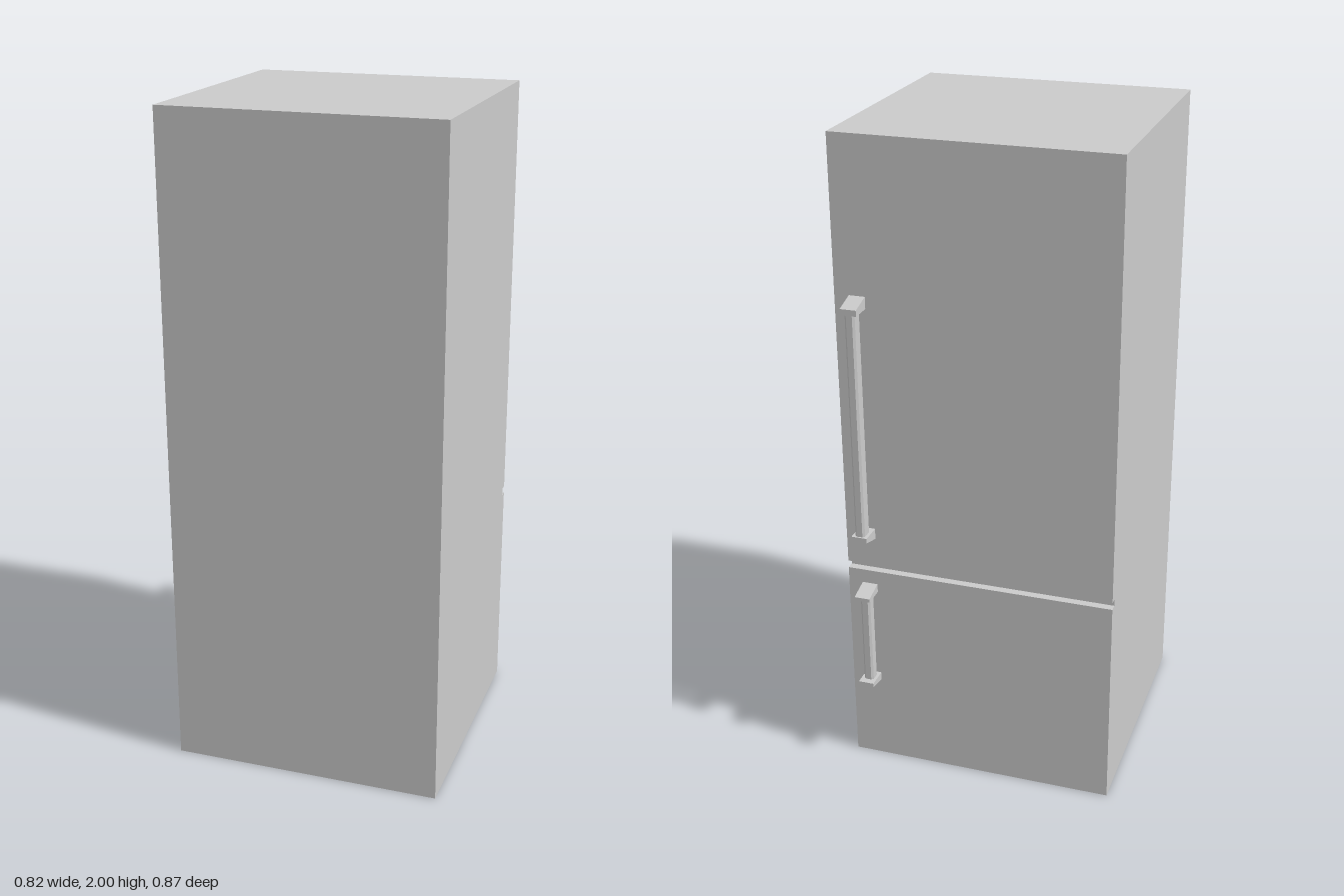
import * as THREE from 'three';

const material = new THREE.MeshStandardMaterial({ color: 0xcccccc, flatShading: true });

// Extrude a side profile of [z, y] points across the width, from x0 to x1.
function sideExtrude(name, points, x0, x1) {
  const shape = new THREE.Shape(points.map(([z, y]) => new THREE.Vector2(-z, y)));
  const geometry = new THREE.ExtrudeGeometry(shape, { depth: x1 - x0, bevelEnabled: false });
  geometry.rotateY(Math.PI / 2).translate(x0, 0, 0);
  const mesh = new THREE.Mesh(geometry, material);
  mesh.name = name;
  return mesh;
}

// Upright grip bar with chamfered long edges.
function gripBar(x, zNear, zFar, y0, y1, width) {
  const w = width / 2, d = (zNear - zFar) / 2, c = 0.006;
  const shape = new THREE.Shape([
    [w, -d + c], [w, d - c], [w - c, d], [-w + c, d],
    [-w, d - c], [-w, -d + c], [-w + c, -d], [w - c, -d],
  ].map(([a, b]) => new THREE.Vector2(a, b)));
  const geometry = new THREE.ExtrudeGeometry(shape, { depth: y1 - y0, bevelEnabled: false });
  geometry.rotateX(-Math.PI / 2).translate(x, y0, (zNear + zFar) / 2);
  const mesh = new THREE.Mesh(geometry, material);
  mesh.name = 'gripBar';
  return mesh;
}

const DOOR = -0.368, REACH = -0.434, X0 = 0.32, X1 = 0.368;

// Handle: two brackets that taper away from the door, joined by a bar.
function handle(name, h) {
  const group = new THREE.Group();
  group.name = name;
  const bracket = (label, [inner, outer, root]) => sideExtrude(label,
    [[DOOR, inner], [REACH, inner], [REACH, outer], [DOOR, root]], X0, X1);
  group.add(
    bracket('upperBracket', h.top),
    bracket('lowerBracket', h.bottom),
    gripBar((X0 + X1) / 2, h.near, h.far, h.bottom[0], h.top[0], h.width),
  );
  return group;
}

export function createModel() {
  const model = new THREE.Group();
  model.name = 'refrigerator';

  // Cabinet with the gap between the two doors cut across the full width
  const back = 0.434, gap = -0.344;
  model.add(sideExtrude('cabinet', [
    [back, 0], [DOOR, 0], [DOOR, 0.665], [gap, 0.665],
    [gap, 0.688], [DOOR, 0.688], [DOOR, 2], [back, 2],
  ], -0.412, 0.412));

  // Bracket heights: inner face, outer edge at the tip, outer edge at the door
  model.add(
    handle('upperDoorHandle', {
      top: [1.507, 1.525, 1.543], bottom: [0.812, 0.797, 0.778],
      near: -0.387, far: -0.429, width: 0.03,
    }),
    handle('lowerDoorHandle', {
      top: [0.594, 0.605, 0.621], bottom: [0.303, 0.291, 0.278],
      near: -0.378, far: -0.414, width: 0.03,
    }),
  );
  return model;
}
